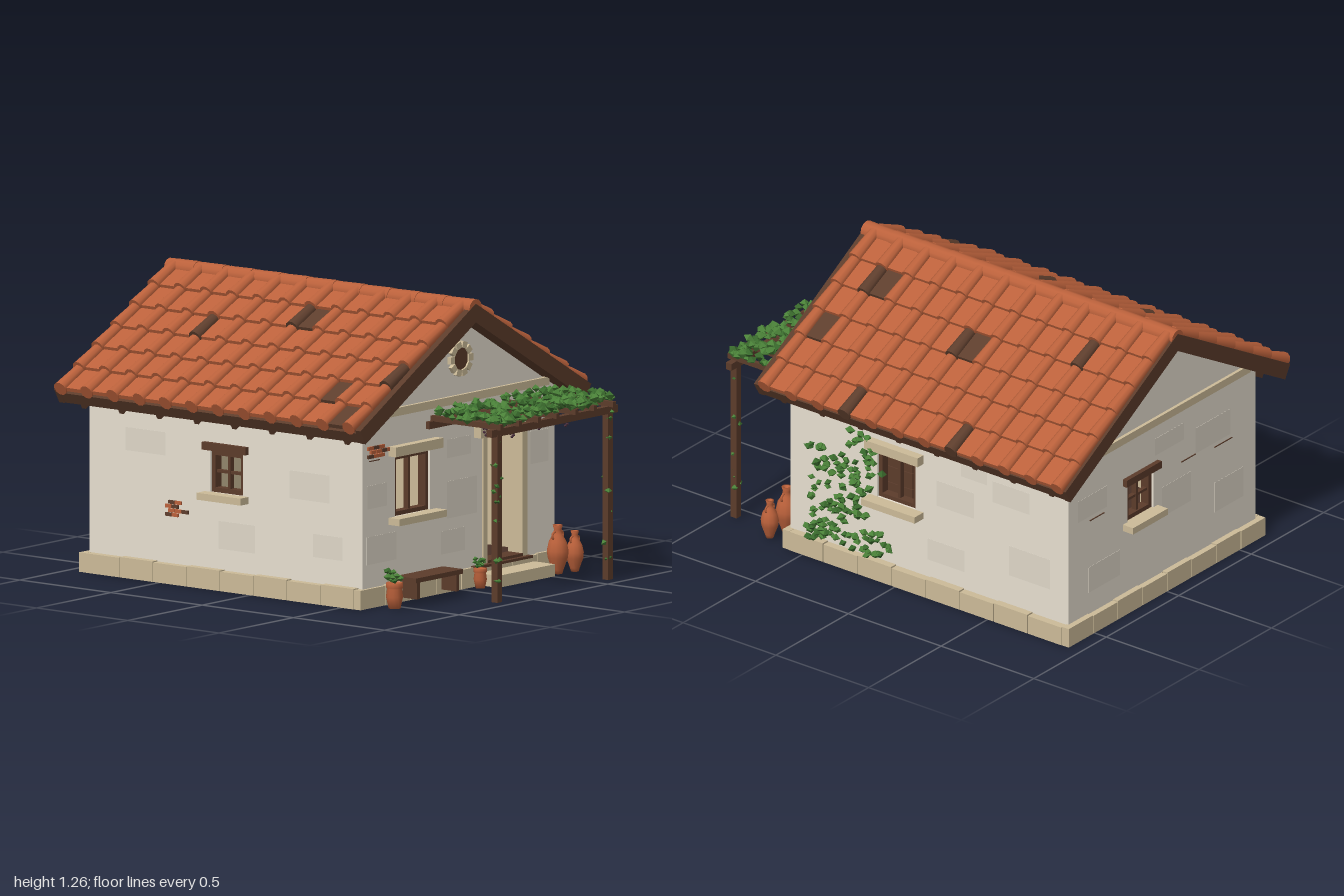
import * as THREE from 'three';
import { mergeGeometries } from 'three/addons/utils/BufferGeometryUtils.js';

const mat = (name, color) => Object.assign(new THREE.MeshStandardMaterial({ color }), { name });
const M = {
  plaster: mat('plaster', 0xe8e0d1),
  patch: mat('worn plaster', 0xdfd7c8),
  stone: mat('stone', 0xccbb98),
  tile: mat('terracotta', 0xbb613b),
  oldTile: mat('weathered tile', 0x5e3e2d),
  wood: mat('dark wood', 0x5c3c2b),
  dark: mat('underside', 0x483026),
  leaf: mat('leaf', 0x4a8138),
  leafDark: mat('dark leaf', 0x396a2c),
  grape: mat('grape', 0x4a2f3c),
};

let seed = 7;
const rnd = () => (seed = (seed * 16807) % 2147483647) / 2147483647;
const span = (a, b) => a + (b - a) * rnd();

function add(parent, name, geo, material, x = 0, y = 0, z = 0) {
  const m = new THREE.Mesh(geo, material);
  m.name = name;
  m.position.set(x, y, z);
  parent.add(m);
  return m;
}
// Box given by its limits on each axis
function box(parent, name, material, x0, x1, y0, y1, z0, z1) {
  return add(parent, name, new THREE.BoxGeometry(x1 - x0, y1 - y0, z1 - z0), material,
    (x0 + x1) / 2, (y0 + y1) / 2, (z0 + z1) / 2);
}
function group(parent, name, x = 0, y = 0, z = 0, ry = 0) {
  const g = new THREE.Group();
  g.name = name;
  g.position.set(x, y, z);
  g.rotation.y = ry;
  parent.add(g);
  return g;
}

const X = 0.645, ZF = 0.592, ZB = -0.91, ANGLE = Math.PI / 6, APEX = 1.165;

// Wall with rectangular openings [x0, x1, y0, y1]; a stone-coloured lining faces the room
function wall(face, outline, holes) {
  const shape = new THREE.Shape(outline.map(p => new THREE.Vector2(...p)));
  for (const [a, b, c, d] of holes) {
    shape.holes.push(new THREE.Path([[a, c], [a, d], [b, d], [b, c]].map(p => new THREE.Vector2(...p))));
  }
  const slab = depth => new THREE.ExtrudeGeometry(shape, { depth, bevelEnabled: false });
  add(face, 'wall', slab(0.06), M.plaster, 0, 0, -0.06);
  add(face, 'wallLining', slab(0.01), M.stone, 0, 0, -0.071);
}

// Window frame with bars, lintel and sill; x, y are its centre on the wall
function windowUnit(face, x, y, w, h, big) {
  const g = group(face, 'window', x, y, 0), t = big ? 0.018 : 0.02, a = w / 2, b = h / 2;
  for (const s of [-1, 1]) {
    add(g, 'frameSide', new THREE.BoxGeometry(t, h, 0.04), M.wood, s * (a - t / 2), 0, -0.03);
    add(g, 'frameRail', new THREE.BoxGeometry(w, t, 0.04), M.wood, 0, s * (b - t / 2), -0.03);
  }
  add(g, 'mullion', new THREE.BoxGeometry(0.013, h, 0.025), M.wood, 0, 0, -0.03);
  if (!big) add(g, 'crossbar', new THREE.BoxGeometry(w, 0.012, 0.02), M.wood, 0, 0, -0.03);
  const lw = w + (big ? 0.085 : 0.06);
  if (big) box(g, 'lintel', M.stone, -lw / 2, lw / 2, b + 0.005, b + 0.047, -0.03, 0.04);
  else box(g, 'lintel', M.wood, -lw / 2, lw / 2, b + 0.002, b + 0.035, -0.03, 0.022);
  box(g, 'sill', M.stone, -lw / 2, lw / 2, -b - 0.03, -b, -0.03, big ? 0.06 : 0.055);
}

// Patch of bare bricks
function bricks(face, x, y, rows, cols) {
  for (let r = 0; r < rows; r++) for (let c = 0; c < cols; c++) {
    if (r !== 1 && c === cols - 1) continue;
    add(face, 'brick', new THREE.BoxGeometry(0.034, 0.015, 0.012), (r + c) % 3 ? M.tile : M.oldTile,
      x + c * 0.037 + (r % 2) * 0.017, y + r * 0.018, 0.003);
  }
}

// One roof slope in its own frame: x runs down the slope, y is its normal
function roofSide(parent, side, oldBarrels, oldPans) {
  const g = group(parent, side > 0 ? 'rightRoof' : 'leftRoof', 0, APEX, -0.155);
  g.rotation.set(0, side > 0 ? 0 : Math.PI, -ANGLE);
  box(g, 'deck', M.wood, -0.029, 0.85, 0.01, 0.05, -0.825, 0.825);
  for (const s of [-1, 1]) {
    add(g, 'bargeboard', new THREE.BoxGeometry(0.895, 0.07, 0.03), M.wood, 0.4075, 0.035, s * 0.825);
  }
  box(g, 'fascia', M.wood, 0.83, 0.852, 0, 0.052, -0.83, 0.83);
  for (let i = 0; i < 8; i++) {
    const z = -0.72 + i * 0.206;
    box(g, 'rafterTail', M.wood, 0.7, 0.845, -0.026, 0.012, z - 0.011, z + 0.011);
  }
  const sets = { tile: [], oldTile: [] }, has = (list, r, j) => list.some(p => p[0] === r && p[1] === j);
  for (let r = 0; r < 6; r++) for (let j = 0; j < 12; j++) {
    const u = 0.05 + r * 0.145, z = side * (-0.8 + j * 0.1436);
    const barrel = new THREE.CylinderGeometry(0.026, 0.032, 0.158, 10).rotateZ(Math.PI / 2 + 0.07);
    sets[has(oldBarrels, r, j) ? 'oldTile' : 'tile'].push(barrel.translate(u + 0.005, 0.075, z));
    if (j === 11) continue;
    const pan = new THREE.BoxGeometry(0.155, 0.018, 0.134).rotateZ(0.1);
    sets[has(oldPans, r, j) ? 'oldTile' : 'tile'].push(pan.translate(u, 0.068, z + side * 0.0718));
  }
  for (const k in sets) add(g, k === 'tile' ? 'roofTiles' : 'weatheredTiles', mergeGeometries(sets[k]), M[k]);
}

// Leaves as small flattened octahedra at the given points, in two greens
function leaves(parent, name, points, size) {
  const sets = [[], []], m = new THREE.Matrix4(), q = new THREE.Quaternion();
  points.forEach((p, i) => {
    const s = size * span(0.75, 1.2);
    q.setFromEuler(new THREE.Euler(span(-0.4, 0.4), span(0, 3), span(-0.4, 0.4)));
    m.compose(new THREE.Vector3(...p), q, new THREE.Vector3(s, s * 0.8, s));
    sets[i % 3 ? 0 : 1].push(new THREE.OctahedronGeometry(1).applyMatrix4(m));
  });
  sets.forEach((s, i) => add(parent, name, mergeGeometries(s), i ? M.leafDark : M.leaf));
}

function lathe(parent, name, profile, k) {
  const pts = profile.map(p => new THREE.Vector2(p[0] * k, p[1] * k));
  add(parent, name, new THREE.LatheGeometry(pts, 12), M.tile);
}
function amphora(parent, x, y, z, h) {
  const k = h / 0.21, g = group(parent, 'amphora', x, y, z);
  lathe(g, 'jar', [[0, 0], [0.02, 0], [0.026, 0.02], [0.044, 0.07], [0.047, 0.1], [0.038, 0.14], [0.02, 0.17],
    [0.016, 0.19], [0.022, 0.21], [0.013, 0.21], [0, 0.19]], k);
  for (const s of [-1, 1]) {
    add(g, 'handle', new THREE.TorusGeometry(0.018 * k, 0.005 * k, 6, 10), M.tile, s * 0.018 * k, 0.165 * k, 0);
  }
}
function pottedPlant(parent, x, z, h, k) {
  const g = group(parent, 'pottedPlant', x, 0.01, z);
  lathe(g, 'pot', [[0, 0], [0.026, 0], [0.037, 0.05], [0.032, 0.085], [0.037, 0.09], [0.037, 0.11],
    [0.03, 0.11], [0, 0.1]], h / 0.11);
  const pts = [];
  for (let i = 0; i < 14; i++) pts.push([span(-0.026, 0.026) * k, h + span(0.01, 0.055) * k, span(-0.026, 0.026) * k]);
  leaves(g, 'plantLeaves', pts, 0.017 * k);
}

export function createModel() {
  const root = new THREE.Group();
  root.name = 'cottage';

  // Raised floor inside a ring of thin plinth stones
  box(root, 'floor', M.dark, -X, X, 0.074, 0.089, ZB, ZF - 0.002);
  for (let i = 0; i < 8; i++) {
    const x = -0.68 + i * 0.17, top = 0.089 + (i % 2) * 0.004;
    for (const [a, b] of [[0.57, 0.606], [-0.937, -0.9]]) {
      box(root, 'plinthBlock', M.stone, x + 0.002, x + 0.168, 0.005, top, a, b);
    }
    const z = -0.9 + i * 0.18375;
    for (const c of [-0.66, 0.66]) box(root, 'plinthBlock', M.stone, c - 0.02, c + 0.02, 0.005, top, z + 0.002, z + 0.182);
  }

  // Walls; each face has its own frame with z pointing outwards
  const front = group(root, 'frontWall', 0, 0, ZF), back = group(root, 'backWall', 0, 0, ZB, Math.PI);
  const right = group(root, 'rightWall', X, 0, 0, Math.PI / 2), left = group(root, 'leftWall', -X, 0, 0, -Math.PI / 2);
  const gx = X - 0.002;
  const gable = [[-gx, 0.088], [gx, 0.088], [gx, 0.8], [0, APEX + 0.005], [-gx, 0.8]];
  const side = (a, b) => [[a, 0.088], [b, 0.088], [b, 0.8], [a, 0.8]];
  wall(front, gable, [[-0.43, -0.195, 0.375, 0.635], [0.18, 0.417, 0.092, 0.645]]);
  wall(back, gable, [[-0.24, -0.06, 0.42, 0.6]]);
  wall(right, side(0.002 - ZF, -0.002 - ZB), [[-0.12, 0.085, 0.385, 0.61]]);
  wall(left, side(ZB + 0.002, ZF - 0.002), [[-0.245, -0.065, 0.42, 0.6]]);
  windowUnit(front, -0.3125, 0.505, 0.235, 0.26, true);
  windowUnit(right, -0.0175, 0.4975, 0.205, 0.225, true);
  windowUnit(back, -0.15, 0.51, 0.18, 0.18, false);
  windowUnit(left, -0.155, 0.51, 0.18, 0.18, false);

  // Worn plaster patches, bare bricks, cracks and gable bands
  const patches = [
    [front, [[-0.55, 0.48, 0.13, 0.1], [-0.52, 0.25, 0.2, 0.12], [0.02, 0.4, 0.2, 0.16], [0, 0.62, 0.16, 0.08], [-0.04, 0.22, 0.16, 0.1], [0.54, 0.55, 0.12, 0.14]]],
    [back, [[-0.48, 0.6, 0.2, 0.1], [-0.4, 0.25, 0.22, 0.12], [0.1, 0.42, 0.2, 0.14], [0.35, 0.62, 0.24, 0.12], [0.46, 0.3, 0.2, 0.14], [0.05, 0.7, 0.2, 0.08]]],
    [right, [[0.3, 0.5, 0.2, 0.12], [0.6, 0.6, 0.2, 0.1], [0.7, 0.3, 0.22, 0.14], [0.25, 0.22, 0.2, 0.1], [0.4, 0.66, 0.14, 0.08]]],
    [left, [[0.3, 0.5, 0.22, 0.12], [-0.6, 0.6, 0.22, 0.1], [-0.1, 0.24, 0.2, 0.12], [0.4, 0.25, 0.16, 0.1]]],
  ];
  for (const [face, list] of patches) for (const [x, y, w, h] of list) {
    add(face, 'wornPatch', new THREE.BoxGeometry(w, h, 0.002), M.patch, x, y, 0);
  }
  bricks(front, -0.6, 0.655, 3, 4);
  bricks(left, -0.47, 0.3, 4, 3);
  for (const [face, x, y, w] of [[front, -0.57, 0.635, 0.07], [back, -0.45, 0.53, 0.1], [back, 0.18, 0.56, 0.1], [back, 0.42, 0.54, 0.12]]) {
    add(face, 'crack', new THREE.BoxGeometry(w, 0.004, 0.005), M.oldTile, x, y, 0.001);
  }
  for (const face of [front, back]) box(face, 'gableBand', M.stone, -0.59, 0.59, 0.81, 0.845, -0.01, 0.015);

  // Round gable vent with a stone ring
  add(front, 'ventDisc', new THREE.CylinderGeometry(0.05, 0.05, 0.012, 20).rotateX(Math.PI / 2), M.wood, 0, 1, 0.004);
  for (let i = 0; i < 10; i++) {
    const a = i * Math.PI / 5;
    add(front, 'ventStone', new THREE.BoxGeometry(0.028, 0.031, 0.03), M.stone,
      Math.cos(a) * 0.061, 1 + Math.sin(a) * 0.061, 0.003).rotation.z = a;
  }

  // Doorway with the door swung inwards, threshold and step
  box(front, 'doorJamb', M.stone, 0.155, 0.183, 0.09, 0.645, -0.07, 0.008);
  box(front, 'doorJamb', M.stone, 0.417, 0.45, 0.09, 0.645, -0.07, 0.008);
  box(front, 'doorLintel', M.stone, 0.1, 0.5, 0.645, 0.69, -0.07, 0.04);
  for (let i = 0; i < 7; i++) {
    box(front, 'doorPlank', M.wood, 0.163, 0.185, 0.107 + i * 0.076, 0.18 + i * 0.076, -0.3, -0.01);
  }
  box(front, 'threshold', M.wood, 0.183, 0.417, 0.088, 0.106, -0.07, 0.01);
  box(front, 'thresholdBoard', M.wood, 0.08, 0.46, 0.083, 0.094, 0, 0.03);
  box(root, 'doorStep', M.stone, 0.11, 0.49, 0.01, 0.062, 0.6, 0.72);

  // Table and jar inside
  box(root, 'tableTop', M.wood, -0.1, 0.23, 0.27, 0.285, -0.3, 0);
  for (const x of [-0.09, 0.2]) for (const z of [-0.29, -0.03]) box(root, 'tableLeg', M.wood, x, x + 0.02, 0.088, 0.27, z, z + 0.02);
  amphora(root, 0.41, 0.09, 0.3, 0.19);

  // Roof, ridge caps
  roofSide(root, 1, [[1, 2], [2, 6], [5, 4], [5, 8], [1, 10]], [[2, 5], [1, 9], [3, 10]]);
  roofSide(root, -1, [[2, 3], [1, 6], [3, 11]], [[1, 6], [4, 9], [5, 10]]);
  for (let i = 0; i < 11; i++) {
    add(root, 'ridgeCap', new THREE.CylinderGeometry(0.042, 0.039, 0.158, 12).rotateX(Math.PI / 2), M.tile,
      0, 1.224, -0.915 + i * 0.152);
  }

  // Pergola with vine and grapes
  const pergola = group(root, 'pergola');
  for (const x of [-0.172, 0.573]) box(pergola, 'post', M.wood, x - 0.016, x + 0.016, 0.01, 0.73, 0.924, 0.956);
  box(pergola, 'frontBeam', M.wood, -0.22, 0.625, 0.725, 0.757, 0.924, 0.954);
  box(pergola, 'wallBeam', M.wood, -0.22, 0.625, 0.725, 0.757, 0.585, 0.61);
  const vine = [];
  for (let i = 0; i < 7; i++) {
    const x = -0.18 + i * 0.126;
    box(pergola, 'rafter', M.wood, x - 0.01, x + 0.01, 0.755, 0.779, 0.585, 0.975);
    for (let k = 0; k < 22; k++) vine.push([x + span(-0.035, 0.035), span(0.778, 0.812), span(0.6, 0.975)]);
  }
  for (let i = 0; i < 90; i++) vine.push([span(-0.2, 0.6), span(0.775, 0.81), i % 3 ? span(0.6, 0.97) : span(0.9, 0.975)]);
  leaves(pergola, 'vineLeaves', vine, 0.024);
  const climbers = [];
  for (let i = 0; i < 30; i++) climbers.push([(i % 2 ? 0.573 : -0.172) + span(-0.018, 0.018), span(0.1, 0.74), 0.94 + span(-0.016, 0.016)]);
  leaves(pergola, 'postLeaves', climbers, 0.016);
  const berries = [];
  for (const [x, z] of [[-0.01, 0.75], [0.03, 0.86], [0.2, 0.7], [0.26, 0.82], [0.34, 0.75], [0.39, 0.86]]) {
    for (let i = 0; i < 10; i++) {
      const r = 0.02 * (1 - i / 12);
      berries.push(new THREE.IcosahedronGeometry(0.007).translate(x + Math.cos(i * 2.4) * r, 0.742 - i * 0.006, z + Math.sin(i * 2.4) * r));
    }
  }
  add(pergola, 'grapes', mergeGeometries(berries), M.grape);

  // Ivy spreading over the right wall: [z, y, half width, half height, count] clumps
  const ivy = [];
  for (const [z, y, w, h, n] of [[0.3, 0.2, 0.17, 0.1, 50], [0.29, 0.38, 0.11, 0.13, 42], [0.22, 0.58, 0.08, 0.14, 24],
    [0.44, 0.42, 0.04, 0.2, 14], [0.12, 0.5, 0.04, 0.12, 8], [0.11, 0.16, 0.07, 0.06, 14], [0.42, 0.14, 0.06, 0.04, 10]]) {
    for (let i = 0; i < n; i++) ivy.push([X + span(0.008, 0.032), y + span(-h, h), z + span(-w, w)]);
  }
  leaves(root, 'ivyLeaves', ivy, 0.021);

  // Bench, pots and jars by the front wall
  box(root, 'benchSeat', M.wood, -0.475, -0.16, 0.11, 0.13, 0.635, 0.745);
  for (const x of [-0.45, -0.187]) box(root, 'benchLeg', M.wood, x, x + 0.018, 0.035, 0.11, 0.65, 0.73);
  pottedPlant(root, -0.565, 0.7, 0.11, 1);
  pottedPlant(root, 0.06, 0.66, 0.085, 0.75);
  amphora(root, 0.55, 0.01, 0.685, 0.21);
  amphora(root, 0.64, 0.01, 0.705, 0.175);
  return root;
}
